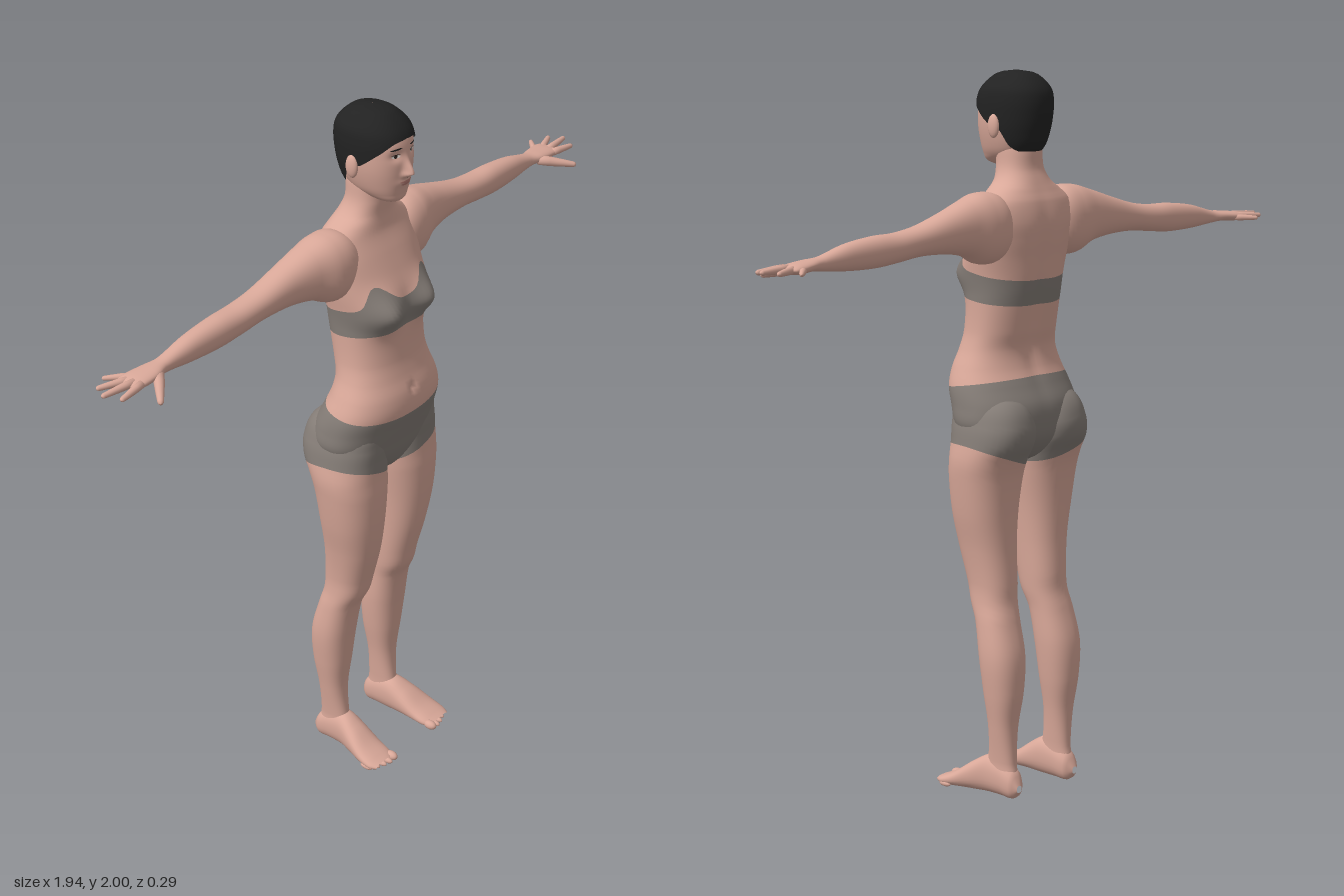
import * as THREE from 'three';

const material = (name, color, side = THREE.FrontSide) =>
  Object.assign(new THREE.MeshStandardMaterial({ color, side }), { name });

const bump = (d, width) => Math.exp(-((d / width) ** 2));

// Smooth interpolation through rows [t, ...values]
function spline(rows) {
  const slope = (i, k) => {
    const p = rows[Math.max(i - 1, 0)], q = rows[Math.min(i + 1, rows.length - 1)];
    return (q[k] - p[k]) / (q[0] - p[0]);
  };
  return (t) => {
    let i = 0;
    while (i < rows.length - 2 && t > rows[i + 1][0]) i++;
    const a = rows[i], b = rows[i + 1], h = b[0] - a[0];
    const s = Math.min(Math.max((t - a[0]) / h, 0), 1), s2 = s * s, s3 = s2 * s;
    return a.slice(1).map((v, j) => {
      const k = j + 1;
      return v * (2 * s3 - 3 * s2 + 1) + b[k] * (3 * s2 - 2 * s3) +
        h * (slope(i, k) * (s3 - 2 * s2 + s) + slope(i + 1, k) * (s3 - s2));
    });
  };
}

// Rounded cross-sections along an axis; rows are [t, cosMin, cosMax, sinMin, sinMax]
const N = 2.3;
function loft(axis, rows, shape = (p) => p) {
  const f = spline(rows);
  return (a, t) => {
    const [c0, c1, s0, s1] = f(t), c = Math.cos(a), s = Math.sin(a);
    const r = 0.5 / (Math.abs(c) ** N + Math.abs(s) ** N) ** (1 / N);
    const u = (c0 + c1) / 2 + (c1 - c0) * r * c, v = (s0 + s1) / 2 + (s1 - s0) * r * s;
    const p = axis === 'y' ? new THREE.Vector3(v, t, u)
      : axis === 'x' ? new THREE.Vector3(t, u, v) : new THREE.Vector3(u, v, t);
    return shape(p, c);
  };
}

// Mesh of a surface between two edges, which may vary with the angle
function patch(name, mat, surface, lo, hi, rows, cols) {
  const edge = (e, a) => (typeof e === 'function' ? e(a) : e);
  const pos = [], nor = [], index = [], e = 1e-3;
  for (let i = 0; i <= rows; i++) {
    for (let j = 0; j <= cols; j++) {
      const a = -Math.PI + (2 * Math.PI * j) / cols, l = edge(lo, a), h = edge(hi, a);
      const t = l + ((h - l) * i) / rows, tn = Math.min(Math.max(t, l + 2 * e), h - 2 * e);
      const da = surface(a + e, tn).sub(surface(a - e, tn));
      const dt = surface(a, tn + e).sub(surface(a, tn - e));
      pos.push(...surface(a, t).toArray());
      nor.push(...da.cross(dt).normalize().toArray());
      if (i < rows && j < cols) {
        const k = i * (cols + 1) + j, m = k + cols + 1;
        index.push(k, k + 1, m, k + 1, m + 1, m);
      }
    }
  }
  const g = new THREE.BufferGeometry();
  g.setAttribute('position', new THREE.Float32BufferAttribute(pos, 3));
  g.setAttribute('normal', new THREE.Float32BufferAttribute(nor, 3));
  g.setIndex(index);
  return Object.assign(new THREE.Mesh(g, mat), { name });
}

// Adds a left part and its mirrored right twin
function addPair(group, mesh) {
  mesh.updateMatrix();
  const left = mesh.geometry.clone().applyMatrix4(mesh.matrix), right = left.clone();
  for (const key of ['position', 'normal']) {
    const at = right.attributes[key];
    for (let i = 0; i < at.count; i++) at.setX(i, -at.getX(i));
  }
  right.setIndex(Array.from(right.index.array).reverse());
  [[left, 'left'], [right, 'right']].forEach(([g, side]) =>
    group.add(Object.assign(new THREE.Mesh(g, mesh.material), { name: side + mesh.name })));
}

// Tapered round-ended digit
function digit(name, mat, from, to, r0, r1) {
  const a = new THREE.Vector3(...from), d = new THREE.Vector3(...to).sub(a), len = d.length();
  const pts = [[0, 0], [r0, 0.002], [r0, len * 0.3], [(r0 + r1) / 2, len * 0.65],
    [r1, len - r1], [r1 * 0.7, len - r1 * 0.3], [0, len]];
  const mesh = new THREE.Mesh(
    new THREE.LatheGeometry(pts.map((p) => new THREE.Vector2(...p)), 14), mat);
  mesh.position.copy(a);
  mesh.quaternion.setFromUnitVectors(new THREE.Vector3(0, 1, 0), d.normalize());
  return Object.assign(mesh, { name });
}

function ellipsoid(name, mat, p, s) {
  const mesh = new THREE.Mesh(new THREE.SphereGeometry(1, 18, 12), mat);
  mesh.position.set(...p);
  mesh.scale.set(...s);
  return Object.assign(mesh, { name });
}

export function createModel() {
  const body = new THREE.Group();
  body.name = 'figure';
  const skin = material('skin', 0xd9a899);
  const cloth = material('grey cloth', 0x857d77);
  const hair = material('black hair', 0x222222, THREE.DoubleSide);
  const lip = material('lips', 0xb87d74);
  const white = material('eye white', 0xe0d8d2);
  const iris = material('dark iris', 0x2b211d);

  // Torso and neck, with bust, navel and spine groove
  const torso = loft('y', [
    [0.925, -0.03, 0.03, 0.01], [0.95, -0.08, 0.06, 0.07], [1.0, -0.122, 0.085, 0.17],
    [1.05, -0.133, 0.1, 0.2], [1.1, -0.13, 0.115, 0.2], [1.15, -0.107, 0.128, 0.193],
    [1.2, -0.085, 0.125, 0.175], [1.25, -0.078, 0.11, 0.155], [1.3, -0.09, 0.1, 0.145],
    [1.4, -0.11, 0.096, 0.145], [1.45, -0.117, 0.102, 0.15], [1.5, -0.122, 0.09, 0.158],
    [1.55, -0.128, 0.07, 0.165], [1.6, -0.13, 0.05, 0.17], [1.65, -0.122, 0.03, 0.155],
    [1.68, -0.11, 0.025, 0.12], [1.705, -0.1, 0.024, 0.085], [1.74, -0.088, 0.028, 0.066],
    [1.8, -0.085, 0.03, 0.06], [1.84, -0.07, 0.02, 0.05],
  ].map(([y, b, f, w]) => [y, b, f, -w, w]), (p, c) => {
    if (c > 0) {
      p.z += 0.037 * Math.min(1, c * 2) * bump(Math.abs(p.x) - 0.082, 0.05) * bump(p.y - 1.45, 0.05);
      p.z -= 0.007 * bump(p.x, 0.012) * bump(p.y - 1.21, 0.014);
    } else p.z -= 0.012 * c * bump(p.x, 0.03) * bump(p.y - 1.38, 0.2);
    return p;
  });
  const waist = (a) => 1.157 - 0.018 * Math.cos(a);
  const bandLow = (a) => 1.383 + 0.012 * Math.cos(a);
  const bandTop = (a) => 1.46 + 0.02 * Math.cos(a) + 0.055 * bump(Math.abs(a) - 0.62, 0.3);
  body.add(
    patch('briefs', cloth, torso, 0.925, waist, 24, 72),
    patch('abdomen', skin, torso, waist, bandLow, 24, 72),
    patch('bandeau', cloth, torso, bandLow, bandTop, 16, 72),
    patch('chestAndNeck', skin, torso, bandTop, 1.84, 40, 72));

  // Legs, grey above the slanting hem
  const leg = loft('y', [
    [0.02, -0.1, -0.03, 0.1, 0.13], [0.05, -0.12, -0.01, 0.085, 0.14],
    [0.1, -0.115, -0.025, 0.083, 0.14], [0.2, -0.116, -0.033, 0.075, 0.152],
    [0.3, -0.13, -0.022, 0.06, 0.167], [0.4, -0.13, -0.01, 0.05, 0.176],
    [0.5, -0.105, 0.008, 0.046, 0.17], [0.55, -0.092, 0.032, 0.04, 0.164],
    [0.6, -0.09, 0.045, 0.036, 0.163], [0.7, -0.086, 0.07, 0.03, 0.176],
    [0.8, -0.09, 0.084, 0.022, 0.196], [0.9, -0.102, 0.088, 0.01, 0.21],
    [0.95, -0.118, 0.086, 0.005, 0.214], [1.0, -0.145, 0.087, 0.003, 0.209],
    [1.05, -0.148, 0.09, 0.005, 0.2], [1.11, -0.12, 0.085, 0.03, 0.175],
    [1.15, -0.05, 0.04, 0.08, 0.12],
  ]);
  const hem = (a) => 0.963 + 0.034 * Math.sin(a) + 0.01 * Math.cos(a);
  addPair(body, patch('Leg', skin, leg, 0.02, hem, 60, 40));
  addPair(body, patch('BriefsLeg', cloth, leg, hem, 1.15, 16, 40));

  // Feet and toes
  const foot = loft('z', [
    [-0.137, 0.105, 0.125, 0.02, 0.04], [-0.12, 0.085, 0.14, 0, 0.075],
    [-0.08, 0.078, 0.145, 0, 0.1], [-0.03, 0.075, 0.15, 0, 0.11],
    [0.02, 0.075, 0.165, 0, 0.085], [0.07, 0.077, 0.178, 0, 0.05],
    [0.11, 0.082, 0.18, 0, 0.03], [0.13, 0.1, 0.17, 0.005, 0.022],
  ]);
  addPair(body, patch('Foot', skin, foot, -0.137, 0.13, 26, 28));
  for (let i = 0; i < 5; i++) {
    const r = i ? 0.0095 - i * 0.0003 : 0.0135;
    addPair(body, ellipsoid('Toe' + (i + 1), skin,
      [0.093 + i * 0.02, r, 0.124 - 0.0018 * i * i], [r, r, 0.021]));
  }

  // Arms and palms
  const arm = loft('x', [
    [0.06, 1.56, 1.62, -0.08, 0], [0.12, 1.5, 1.675, -0.115, 0.03],
    [0.18, 1.492, 1.683, -0.12, 0.03], [0.24, 1.518, 1.668, -0.113, 0.01],
    [0.32, 1.532, 1.643, -0.107, -0.008], [0.42, 1.535, 1.615, -0.102, -0.018],
    [0.5, 1.527, 1.604, -0.102, -0.022], [0.58, 1.52, 1.602, -0.1, -0.026],
    [0.68, 1.522, 1.59, -0.095, -0.035], [0.77, 1.53, 1.567, -0.09, -0.045],
    [0.81, 1.533, 1.563, -0.1, -0.035], [0.86, 1.53, 1.558, -0.11, -0.035],
    [0.885, 1.535, 1.552, -0.108, -0.04], [0.895, 1.542, 1.546, -0.09, -0.06],
  ]);
  addPair(body, patch('Arm', skin, arm, 0.06, 0.895, 64, 36));
  [
    ['Thumb', [0.8, 1.543, -0.05], [0.88, 1.522, 0.03], 0.014, 0.008],
    ['IndexFinger', [0.865, 1.545, -0.045], [0.95, 1.54, -0.035], 0.0105, 0.007],
    ['MiddleFinger', [0.87, 1.546, -0.065], [0.972, 1.545, -0.078], 0.0105, 0.007],
    ['RingFinger', [0.865, 1.545, -0.083], [0.95, 1.543, -0.118], 0.01, 0.007],
    ['LittleFinger', [0.85, 1.542, -0.098], [0.9, 1.54, -0.147], 0.009, 0.006],
  ].forEach(([name, from, to, r0, r1]) => addPair(body, digit(name, skin, from, to, r0, r1)));

  // Head with nose, eye sockets and mouth shaped into the face
  const headRows = [
    [1.745, 0.02, 0.06, 0.015], [1.755, -0.01, 0.077, 0.038], [1.775, -0.065, 0.083, 0.058],
    [1.8, -0.092, 0.088, 0.07], [1.84, -0.107, 0.093, 0.08], [1.88, -0.115, 0.094, 0.084],
    [1.92, -0.117, 0.09, 0.084], [1.95, -0.109, 0.076, 0.077], [1.98, -0.08, 0.044, 0.05],
    [1.99, -0.055, 0.018, 0.029], [1.994, -0.02, -0.019, 0.001],
  ].map(([y, b, f, w]) => [y, b, f, -w, w]);
  const face = (x, y) =>
    0.025 * bump(x, 0.012) * bump(y - 1.838, y > 1.838 ? 0.03 : 0.011) +
    0.007 * bump(Math.abs(x) - 0.012, 0.008) * bump(y - 1.834, 0.009) -
    0.008 * bump(Math.abs(x) - 0.032, 0.017) * bump(y - 1.888, 0.013) +
    0.006 * bump(x, 0.024) * bump(y - 1.81, 0.012);
  const head = loft('y', headRows, (p, c) => {
    if (c > 0) p.z += face(p.x, p.y);
    return p;
  });
  body.add(patch('head', skin, head, 1.745, 1.994, 80, 128));
  addPair(body, ellipsoid('Ear', skin, [0.088, 1.853, -0.016], [0.011, 0.032, 0.019]));

  // Cropped hair, a thin shell over the skull
  const hairline = spline([[0, 1.928], [0.5, 1.922], [0.95, 1.895], [1.4, 1.862],
    [1.8, 1.845], [2.1, 1.805], [2.6, 1.787], [3.15, 1.785]]);
  const skull = loft('y', headRows, (p) => {
    const mid = new THREE.Vector3(0, 1.88, -0.02);
    return p.sub(mid).multiplyScalar(1.05).add(mid);
  });
  body.add(patch('hair', hair, skull, (a) => hairline(Math.abs(a))[0], 1.994, 36, 72));

  // Eyes, brows and lips as thin patches lying on the face
  const section = spline(headRows);
  const decal = (name, mat, x0, y0, rx, ry, lift, tilt = 0) =>
    patch(name, mat, (a, t) => {
      const dx = rx * t * Math.cos(a), x = x0 + dx, y = y0 - ry * t * Math.sin(a) + tilt * dx;
      const [b, f, , w] = section(y);
      const z = (b + f) / 2 + ((f - b) / 2) * (1 - Math.abs(x / w) ** N) ** (1 / N);
      return new THREE.Vector3(x, y, z + face(x, y) + lift);
    }, 0, 1, 4, 24);
  addPair(body, decal('Eye', white, 0.032, 1.887, 0.0125, 0.0042, 0.0012));
  addPair(body, decal('Iris', iris, 0.032, 1.887, 0.005, 0.0044, 0.002));
  addPair(body, decal('EyeLashLine', iris, 0.032, 1.8918, 0.014, 0.0012, 0.0022));
  addPair(body, decal('Brow', hair, 0.033, 1.908, 0.017, 0.0024, 0.0015, -0.08));
  addPair(body, decal('Nostril', iris, 0.008, 1.8275, 0.003, 0.0014, 0.0012));
  body.add(decal('upperLip', lip, 0, 1.8125, 0.022, 0.0035, 0.0012),
    decal('lowerLip', lip, 0, 1.8055, 0.018, 0.0042, 0.0012));
  return body;
}
